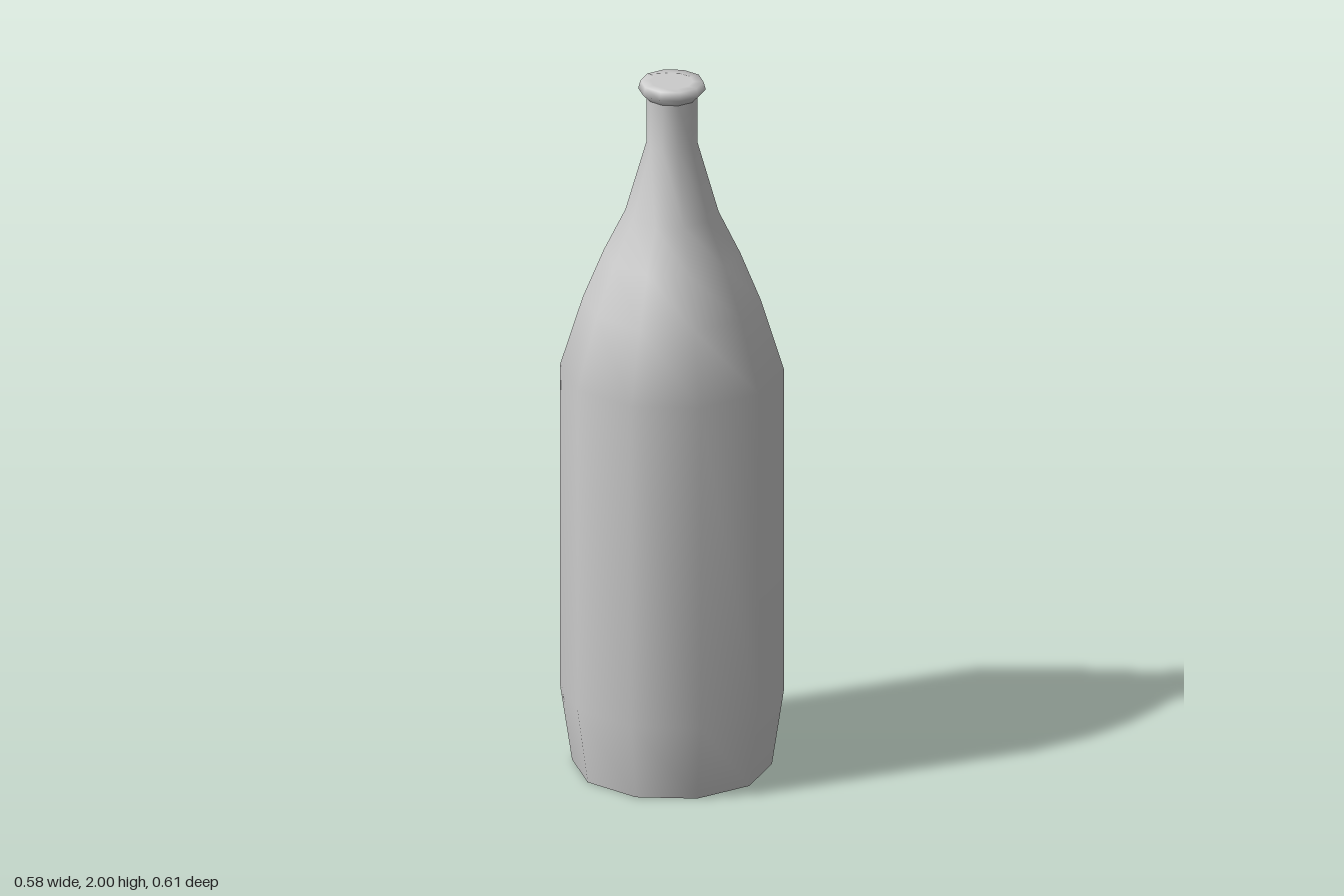
import * as THREE from 'three';

const SIDES = 10;

export function createModel() {
  const group = new THREE.Group();
  group.name = 'bottle';
  const material = new THREE.MeshStandardMaterial({ color: 0xcccccc });

  const add = (name, geometry) => {
    const mesh = new THREE.Mesh(geometry, material);
    mesh.name = name;
    group.add(mesh);
    return mesh;
  };
  // Ten-sided turned surface from [radius, height] pairs, with a corner on the z axis
  const turned = (profile) =>
    new THREE.LatheGeometry(profile.map(([r, y]) => new THREE.Vector2(r, y)), SIDES);

  // Tapered foot, straight body, sloping shoulder and neck
  add('body', turned([
    [0.272, 0], [0.305, 0.22], [0.305, 1.16], [0.243, 1.36],
    [0.186, 1.5], [0.127, 1.62], [0.07, 1.82], [0.07, 1.955],
  ]));

  // Rounded lip around the mouth
  add('lip', turned([
    [0.07, 1.955], [0.092, 1.977], [0.086, 2], [0.058, 2],
  ]));

  // Flat discs closing the mouth and the base
  add('mouth', turned([[0.058, 2], [0, 2]]));
  add('base', turned([[0, 0], [0.272, 0]]));

  return group;
}
